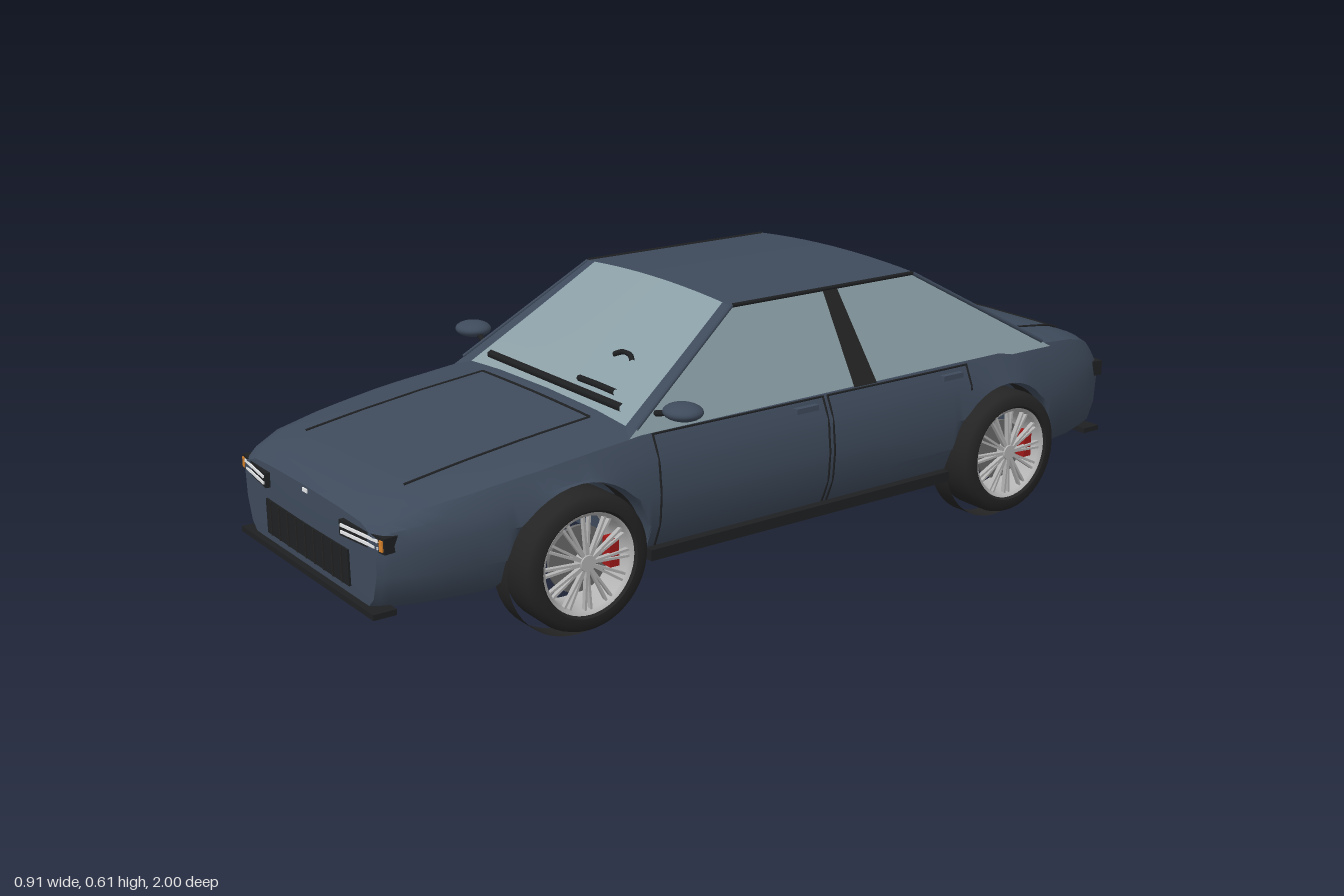
import * as THREE from 'three';
import { toCreasedNormals } from 'three/addons/utils/BufferGeometryUtils.js';

const mat = (color, side = THREE.FrontSide) => new THREE.MeshStandardMaterial({ color, side });
const paint = mat(0x3e4a5b), paint2 = mat(0x3e4a5b, THREE.DoubleSide);
const glass = mat(0x8a9ea5, THREE.DoubleSide), black = mat(0x1f2022);
const rubber = mat(0x242424, THREE.DoubleSide), silver = mat(0xb4b4b4, THREE.DoubleSide);
const white = mat(0xe6e8ea), red = mat(0xa01818), amber = mat(0xd8822a), darkRed = mat(0x6e1c22);

const BASE = 0.125, ARCH = 0.167, AXLE = 0.16, AXLES = [0.577, -0.59];
// outline tables: [z, height] along the car and [|z|, half width]
const TOP = [[-0.985, 0.322], [-0.97, 0.345], [-0.94, 0.37], [-0.88, 0.395], [-0.72, 0.412], [-0.4, 0.41],
  [0.42, 0.405], [0.6, 0.386], [0.75, 0.366], [0.9, 0.342], [0.96, 0.322], [0.985, 0.302]];
const WIDTH = [[0, 0.382], [0.4, 0.382], [0.65, 0.378], [0.8, 0.362], [0.9, 0.34], [0.97, 0.31], [0.985, 0.296]];

function lookup(table, t) {
  let i = 0;
  while (i < table.length - 2 && t > table[i + 1][0]) i++;
  const [a, b] = [table[i], table[i + 1]];
  const f = THREE.MathUtils.clamp((t - a[0]) / (b[0] - a[0]), 0, 1);
  return a[1] + (b[1] - a[1]) * f;
}
const topY = z => lookup(TOP, z);

// right-hand half of a body cross-section, bottom centre to top centre
function section(z) {
  const w = lookup(WIDTH, Math.abs(z)), t = topY(z);
  const axle = AXLES.find(a => Math.abs(z - a) <= ARCH + 1e-6);
  const yb = axle === undefined ? BASE : AXLE + Math.sqrt(Math.max(0, ARCH ** 2 - (z - axle) ** 2));
  return [[0, BASE], [0.84, BASE], [0.93, 0.15], [0.985, 0.2], [1, 0.265], [0.98, 0.265 + (t - 0.283) * 0.6],
    [0.92, t - 0.018], [0.8, t - 0.006], [0.5, t - 0.002], [0, t]].map(([x, y]) => [x * w, Math.max(y, yb)]);
}
function sideX(y, z) {
  const s = section(z).slice(1, 7);
  return lookup(s.map(([x, h]) => [h, x]), y);
}

// lofted shell with both wheel arches cut through
function bodyGeometry() {
  const zs = [-0.985, -0.97, -0.94, -0.9, -0.85, -0.8, -0.2, 0, 0.2, 0.4, 0.8, 0.85, 0.9, 0.93, 0.96, 0.975, 0.985];
  for (const a of AXLES) {
    zs.push(a - ARCH - 0.001, a + ARCH + 0.001);
    for (let k = 0; k <= 20; k++) zs.push(a + ARCH * Math.cos(Math.PI * k / 20));
  }
  zs.sort((a, b) => a - b);
  const pos = [], idx = [];
  let n = 0;
  for (const z of zs) {
    const half = section(z);
    const ring = [...half, ...half.slice(1, -1).reverse().map(([x, y]) => [-x, y])];
    n = ring.length;
    for (const [x, y] of ring) pos.push(x, y, z);
  }
  const last = (zs.length - 1) * n, c = pos.length / 3;
  pos.push(0, 0.21, -0.99, 0, 0.21, 0.99);
  for (let j = 0; j < n; j++) {
    const k = (j + 1) % n;
    for (let i = 0; i < last; i += n) idx.push(i + j, i + k, i + n + k, i + j, i + n + k, i + n + j);
    idx.push(c, k, j, c + 1, last + j, last + k);
  }
  const g = new THREE.BufferGeometry();
  g.setAttribute('position', new THREE.Float32BufferAttribute(pos, 3));
  g.setIndex(idx);
  return toCreasedNormals(g, 0.6);
}

// four-cornered panel (bottom a-b, top d-c) with a crowned middle
function panelGeometry(a, b, c, d, crownA = 0, crownB = 0) {
  const g = new THREE.PlaneGeometry(1, 1, 10, 6), p = g.attributes.position;
  const [A, B, C, D] = [a, b, c, d].map(v => new THREE.Vector3(...v));
  for (let i = 0; i < p.count; i++) {
    const u = p.getX(i) + 0.5, v = p.getY(i) + 0.5;
    const q = A.clone().lerp(B, u).lerp(D.clone().lerp(C, u), v);
    q.y += (crownA + (crownB - crownA) * v) * Math.max(0, 1 - (q.x / 0.275) ** 2);
    p.setXYZ(i, q.x, q.y, q.z);
  }
  g.computeVertexNormals();
  return g;
}

export function createModel() {
  const car = new THREE.Group();
  car.name = 'saloonCar';
  const add = (name, geo, m, parent = car) => {
    const mesh = new THREE.Mesh(geo, m);
    mesh.name = name;
    parent.add(mesh);
    return mesh;
  };
  const box = (name, w, h, d, x, y, z, m, parent) => {
    const b = add(name, new THREE.BoxGeometry(w, h, d), m, parent);
    b.position.set(x, y, z);
    return b;
  };
  const tube = (name, pts, r, m = black) => add(name, new THREE.TubeGeometry(
    new THREE.CatmullRomCurve3(pts.map(p => new THREE.Vector3(...p))), pts.length * 2, r, 6), m);
  const line = (f, n = 8) => Array.from({ length: n + 1 }, (_, i) => f(i / n));

  add('bodyShell', bodyGeometry(), paint);

  // cabin: windscreen, rear window, pillars, side glass, roof
  const ends = [['front', 0.445, 0.13, 0.35], ['rear', -0.755, -0.38, 0.352]];
  for (const [name, zb, zt, xb] of ends) {
    const strip = (label, f0, f1, m) => add(label, panelGeometry([xb * f0, 0.385, zb], [xb * f1, 0.385, zb],
      [0.272 * f1, 0.597, zt], [0.272 * f0, 0.597, zt], 0, 0.012), m);
    strip(name + 'Window', -0.89, 0.89, glass);
    for (const s of [-1, 1]) strip(name + 'Pillar', s * 0.89, s, paint2);
  }
  add('roof', panelGeometry([-0.275, 0.598, 0.135], [0.275, 0.598, 0.135], [0.275, 0.598, -0.385],
    [-0.275, 0.598, -0.385], 0.012, 0.012), paint2);

  for (const s of [-1, 1]) {
    add('sideWindow', panelGeometry([s * 0.35, 0.385, 0.445], [s * 0.352, 0.385, -0.755],
      [s * 0.272, 0.597, -0.38], [s * 0.272, 0.597, 0.13]), glass);
    add('centrePillar', panelGeometry([s * 0.353, 0.39, -0.145], [s * 0.353, 0.39, -0.21],
      [s * 0.275, 0.597, -0.155], [s * 0.275, 0.597, -0.115]), rubber);
    tube('roofGutter', line(t => [s * 0.272, 0.597, 0.13 - 0.51 * t]), 0.005);
    tube('windowFrameFront', line(t => [s * (0.345 - 0.073 * t), 0.4 + 0.197 * t, 0.425 - 0.295 * t]), 0.004, paint);
    tube('windowFrameRear', line(t => [s * (0.347 - 0.075 * t), 0.4 + 0.197 * t, -0.73 + 0.35 * t]), 0.005, paint);

    // door seams, handles and sill
    for (const [z0, z1] of [[0.39, -0.055], [-0.068, -0.48]]) {
      const low = z1 < -0.4 ? 0.33 : 0.15;
      for (const [z, y0] of [[z0, 0.15], [z1, low]])
        tube('doorSeam', line(t => { const y = y0 + (0.388 - y0) * t; return [s * sideX(y, z), y, z]; }), 0.0025);
      tube('doorTopSeam', line(t => { const z = z0 + (z1 - z0) * t; return [s * sideX(0.386, z), 0.386, z]; }), 0.0025);
      const hz = z1 + 0.055;
      box('doorHandle', 0.016, 0.012, 0.06, s * (sideX(0.37, hz) + 0.003), 0.37, hz, paint);
    }
    box('sill', 0.04, 0.024, 0.83, s * 0.352, 0.135, -0.006, black);

    // door mirrors
    const mirror = add('mirror', new THREE.SphereGeometry(1, 24, 14), paint);
    mirror.scale.set(0.045, 0.018, 0.04);
    mirror.position.set(s * 0.412, 0.442, 0.358);
    tube('mirrorStalk', [[s * 0.335, 0.422, 0.37], [s * 0.36, 0.428, 0.365], [s * 0.39, 0.437, 0.36]], 0.007);

    // headlights and tail lights
    const head = new THREE.Group();
    head.name = 'headlight';
    head.position.set(s * 0.24, 0.268, 0.963);
    head.rotation.y = s * 0.12;
    car.add(head);
    box('lampHousing', 0.152, 0.032, 0.05, 0, 0, 0, black, head);
    for (const y of [-0.007, 0.007]) box('lampStrip', 0.125, 0.006, 0.004, -s * 0.006, y, 0.026, white, head);
    box('indicator', 0.01, 0.022, 0.004, s * 0.067, 0, 0.026, amber, head);
    const tail = new THREE.Group();
    tail.name = 'tailLight';
    tail.position.set(s * 0.24, 0.287, -0.963);
    tail.rotation.y = -s * 0.12;
    car.add(tail);
    box('lampHousing', 0.152, 0.036, 0.05, 0, 0, 0, black, tail);
    for (const y of [-0.008, 0.008]) box('lampStrip', 0.135, 0.009, 0.004, 0, y, -0.026, y > 0 ? darkRed : red, tail);

    // bonnet and boot lid side seams
    tube('bonnetSeam', line(t => { const z = 0.45 + 0.43 * t; return [s * 0.215, topY(z) - 0.003, z]; }), 0.003);
    tube('bootSeam', line(t => { const z = -0.73 - 0.175 * t; return [s * 0.23, topY(z) - 0.003, z]; }), 0.003);

    // grilles and bumper lips at the nose and tail
    box('grille', 0.37, 0.075, 0.02, 0, 0.187, s * 0.981, black);
    for (let i = -4; i <= 4; i++) box('grilleBar', 0.004, 0.073, 0.006, i * 0.04, 0.187, s * 0.991, rubber);
    box('bumperLip', 0.6, 0.012, 0.05, 0, 0.125, s * 0.975, black);
  }
  for (const [name, z, x] of [['bonnetRearSeam', 0.45, 0.215], ['bootFrontSeam', -0.755, 0.23], ['bootRearSeam', -0.905, 0.23]])
    tube(name, line(t => [x * (2 * t - 1), topY(z) - 0.003 * (2 * t - 1) ** 2, z]), 0.003);
  box('noseBadge', 0.02, 0.008, 0.006, 0, 0.293, 0.985, white);

  // dashboard top, instrument hood and steering wheel rim at the windscreen
  tube('dashboardTop', [[-0.262, 0.42, 0.4], [0, 0.421, 0.402], [0.262, 0.42, 0.4]], 0.01);
  tube('instrumentHood', [[0.066, 0.436, 0.378], [0.135, 0.437, 0.378], [0.204, 0.436, 0.378]], 0.007);
  tube('steeringWheelRim', [[0.1, 0.484, 0.311], [0.118, 0.492, 0.302], [0.15, 0.491, 0.303], [0.17, 0.483, 0.313]], 0.006);

  // wheels
  const lathe = pts => new THREE.LatheGeometry(pts.map(p => new THREE.Vector2(...p)), 48).rotateZ(-Math.PI / 2);
  const tyre = toCreasedNormals(lathe([[0.105, -0.05], [0.135, -0.05], [0.144, -0.04], [0.145, 0.03], [0.141, 0.043],
    [0.13, 0.052], [0.112, 0.052], [0.106, 0.045]]), 0.7);
  const tread = new THREE.CylinderGeometry(0.16, 0.16, 0.052, 48, 1, true).rotateZ(Math.PI / 2);
  const rim = lathe([[0.1, -0.05], [0.094, 0], [0.098, 0.04], [0.107, 0.047]]);
  const disc = new THREE.CylinderGeometry(0.07, 0.07, 0.008, 40).rotateZ(Math.PI / 2);
  const hub = new THREE.CylinderGeometry(0.017, 0.022, 0.02, 24).rotateZ(-Math.PI / 2);
  for (const z of AXLES) for (const s of [-1, 1]) {
    const wheel = new THREE.Group();
    wheel.name = 'wheel';
    wheel.position.set(s * 0.352, 0.165, z);
    wheel.rotation.y = s > 0 ? 0 : Math.PI;
    car.add(wheel);
    add('tyre', tyre, rubber, wheel);
    add('innerTread', tread, rubber, wheel).position.set(-0.026, -0.005, 0);
    add('rim', rim, silver, wheel);
    add('brakeDisc', disc, mat(0x6a6a6a), wheel).position.x = 0.005;
    add('hub', hub, silver, wheel).position.x = 0.034;
    for (let i = 0; i < 12; i++) for (const d of [-0.07, 0.07]) {
      const spoke = new THREE.Group();
      spoke.rotation.x = i * Math.PI / 6 + d;
      wheel.add(spoke);
      box('spoke', 0.01, 0.085, 0.005, 0.036, 0.058, 0, silver, spoke);
    }
    box('brakeCaliper', 0.028, 0.06, 0.022, 0.022, 0.006, -s * 0.067, red, wheel);
  }
  return car;
}
